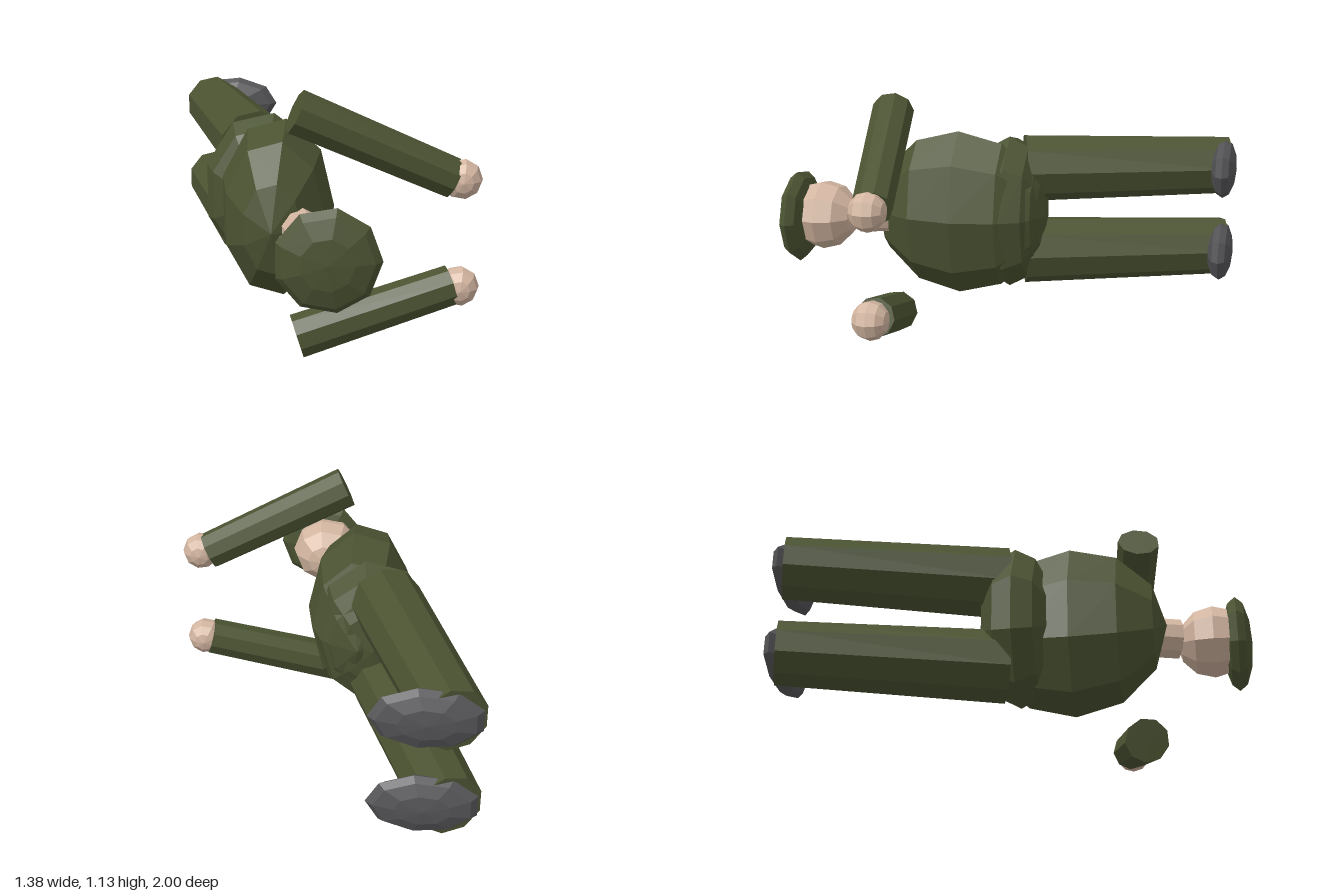
import * as THREE from 'three';

export function createModel() {
  const model = new THREE.Group();
  model.name = 'lyingFigure';

  const mat = (name, color) => {
    const m = new THREE.MeshStandardMaterial({ color, flatShading: true });
    m.name = name;
    return m;
  };
  const olive = mat('oliveCloth', 0x4b5332);
  const skin = mat('skin', 0xd2b5a0);
  const boot = mat('bootGrey', 0x555558);

  const add = (name, geometry, material) => {
    const mesh = new THREE.Mesh(geometry, material);
    mesh.name = name;
    model.add(mesh);
    return mesh;
  };

  // Nine-sided ellipsoid with its poles along z
  const ball = (name, material, center, radii) => {
    const g = new THREE.SphereGeometry(1, 9, 6).rotateX(Math.PI / 2).rotateZ(Math.PI);
    g.scale(...radii);
    add(name, g, material).position.set(...center);
  };

  // Nine-sided tapered cylinder from point a to point b
  const limb = (name, material, a, b, ra, rb) => {
    const p = new THREE.Vector3(...a);
    const q = new THREE.Vector3(...b);
    const g = new THREE.CylinderGeometry(rb, ra, p.distanceTo(q), 9);
    g.rotateX(Math.PI / 2).rotateZ(Math.PI / 2);
    const mesh = add(name, g, material);
    mesh.position.copy(p).add(q).multiplyScalar(0.5);
    mesh.quaternion.setFromUnitVectors(new THREE.Vector3(0, 0, 1), q.sub(p).normalize());
  };

  // Body, head and cap
  ball('torso', olive, [-0.165, 0.58, 0.235], [0.245, 0.387, 0.4]);
  ball('pelvis', olive, [-0.235, 0.58, 0.01], [0.27, 0.36, 0.17]);
  limb('neck', skin, [-0.056, 0.58, 0.555], [-0.018, 0.58, 0.68], 0.087, 0.087);
  ball('head', skin, [0.037, 0.58, 0.83], [0.168, 0.158, 0.16]);
  ball('cap', olive, [0.066, 0.576, 0.932], [0.209, 0.211, 0.067]);

  // Legs and boots, one above the other
  for (const [side, y] of [['upper', 0.775], ['lower', 0.38]]) {
    limb(side + 'Leg', olive, [-0.565, y, -0.948], [-0.28, y, -0.042], 0.135, 0.157);
    ball(side + 'Boot', boot, [-0.463, y, -0.942], [0.225, 0.133, 0.058]);
  }

  // Arms reaching forward, with hands
  limb('upperArm', olive, [0.567, 0.757, 0.415], [-0.072, 1.055, 0.525], 0.086, 0.094);
  ball('upperHand', skin, [0.605, 0.755, 0.42], [0.085, 0.086, 0.08]);
  limb('lowerArm', olive, [0.575, 0.292, 0.415], [-0.07, 0.098, 0.525], 0.086, 0.094);
  ball('lowerHand', skin, [0.605, 0.29, 0.42], [0.085, 0.086, 0.08]);

  return model;
}
